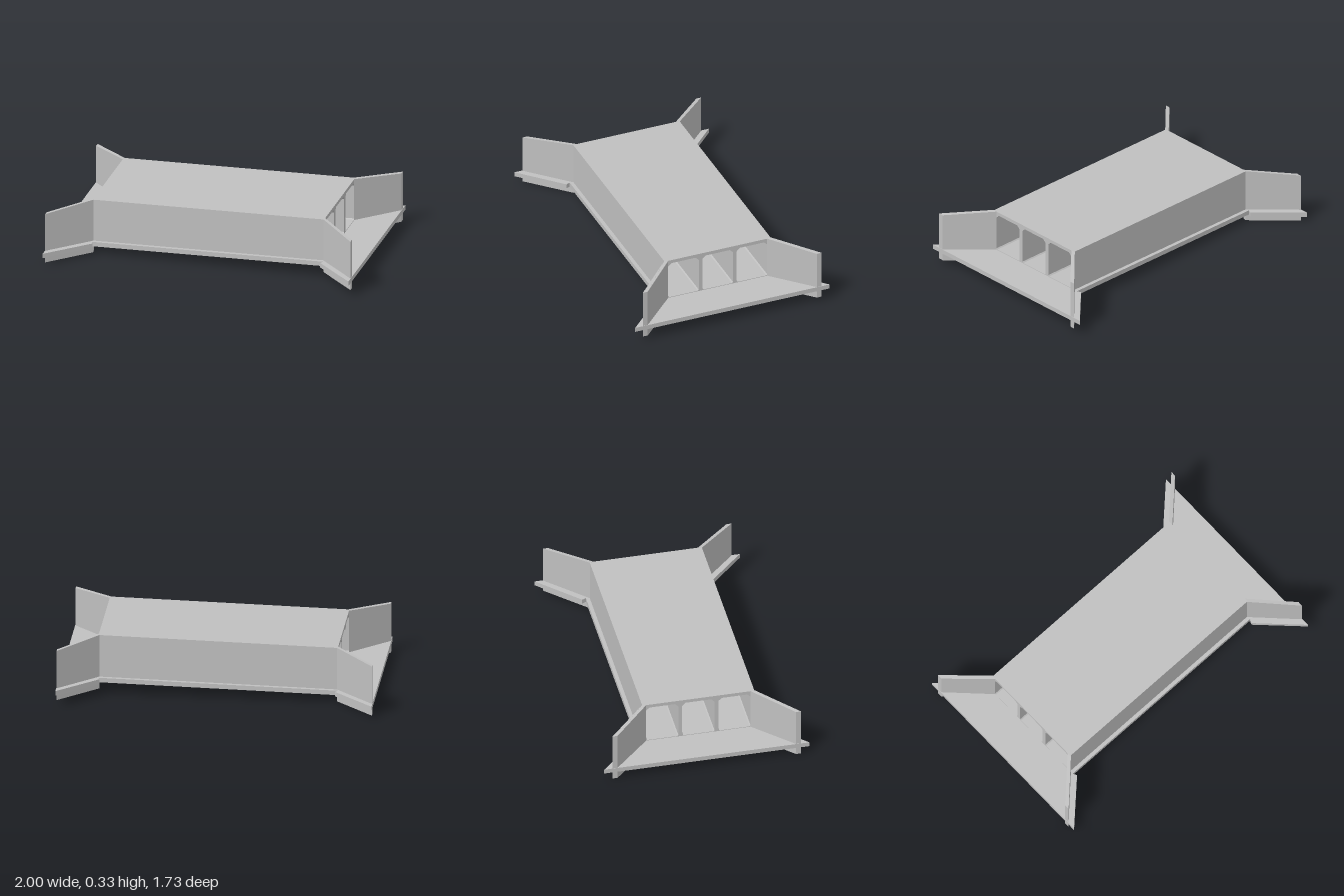
import * as THREE from 'three';

const YAW = 25.2 * Math.PI / 180; // skew of the culvert in plan
const HALF = 0.638;               // half length of the barrel
const WALL = 0.305;               // half width of the barrel
const END = 0.843;                // outer edge of the aprons
const FLOOR = 0.055, SLAB = 0.08, DECK = 0.314;

// Longitudinal fall: sloping along the barrel, level beyond its ends
const fall = u => 0.0135 * THREE.MathUtils.clamp(u / HALF, -1, 1);

// Upright prism on a plan outline of [u, v] points, bottom and top set by rules
function prism(points, bottom, top) {
  const shape = new THREE.Shape(points.map(([u, v]) => new THREE.Vector2(u, -v)));
  const geo = new THREE.ExtrudeGeometry(shape, { depth: 1, bevelEnabled: false });
  geo.rotateX(-Math.PI / 2);
  const p = geo.attributes.position;
  for (let i = 0; i < p.count; i++) {
    const u = p.getX(i);
    p.setY(i, p.getY(i) > 0.5 ? top(u) : bottom(u));
  }
  geo.computeVertexNormals();
  return geo;
}

// Barrel cross-section: three cells with haunched corners
function barrelSection() {
  const shape = new THREE.Shape();
  shape.moveTo(-WALL, SLAB).lineTo(WALL, SLAB).lineTo(WALL, DECK).lineTo(-WALL, DECK).closePath();
  const t = 0.021, w = (2 * WALL - 4 * t) / 3;
  const y0 = SLAB + 0.003, y1 = DECK - 0.019, top = 0.018, low = 0.006;
  for (let i = 0; i < 3; i++) {
    const a = -WALL + t + i * (w + t), b = a + w;
    shape.holes.push(new THREE.Path([
      [a + low, y0], [a, y0 + low], [a, y1 - top], [a + top, y1],
      [b - top, y1], [b, y1 - top], [b, y0 + low], [b - low, y0],
    ].map(([x, y]) => new THREE.Vector2(x, y))));
  }
  return shape;
}

export function createModel() {
  const model = new THREE.Group();
  model.name = 'boxCulvert';
  const concrete = new THREE.MeshStandardMaterial({ color: 0xc0c0c0 });
  concrete.name = 'concrete';
  const add = (name, geo) => {
    const mesh = new THREE.Mesh(geo, concrete);
    mesh.name = name;
    model.add(mesh);
  };

  // Barrel, cast in five equal segments
  const section = barrelSection(), count = 5, length = 2 * HALF / count;
  for (let i = 0; i < count; i++) {
    const geo = new THREE.ExtrudeGeometry(section, { depth: length, bevelEnabled: false });
    geo.rotateY(Math.PI / 2);
    geo.translate(-HALF + i * length, 0, 0);
    const p = geo.attributes.position;
    for (let j = 0; j < p.count; j++) p.setY(j, p.getY(j) + fall(p.getX(j)));
    geo.computeVertexNormals();
    add('barrelSegment' + (i + 1), geo);
  }

  // Base slab, a little wider than the barrel
  const edge = 0.325;
  add('baseSlab', prism(
    [[-HALF, -edge], [HALF, -edge], [HALF, edge], [-HALF, edge]],
    u => FLOOR + fall(u), u => SLAB + fall(u)));

  for (const s of [-1, 1]) {
    const label = s > 0 ? 'upper' : 'lower';
    const dy = fall(s * HALF);

    // Splayed apron
    add(label + 'Apron', prism(
      [[HALF, -edge], [0.628, -0.347], [END, -0.558], [END, 0.558], [0.628, 0.347], [HALF, edge]]
        .map(([u, v]) => [s * u, v]),
      () => FLOOR + dy, () => SLAB + dy));

    for (const m of [-1, 1]) {
      const side = m > 0 ? 'Left' : 'Right';
      const plan = [[HALF, 0.284], [0.841, 0.485], [0.841, 0.513], [HALF, 0.31], [0.633, WALL]]
        .map(([u, v]) => [s * u, m * v]);
      // Flared wing wall with a falling top
      const top = u => DECK + dy - 0.024 * Math.max(0, Math.abs(u) - HALF) / (0.841 - HALF);
      add(label + side + 'WingWall', prism(plan, () => SLAB + dy, top));
      // Cut-off footing below the wing
      add(label + side + 'Footing', prism(plan, () => 0.0135 + dy, () => FLOOR + dy));
    }
  }

  model.rotation.y = -YAW;
  const root = new THREE.Group();
  root.name = 'culvert';
  root.add(model);
  return root;
}
